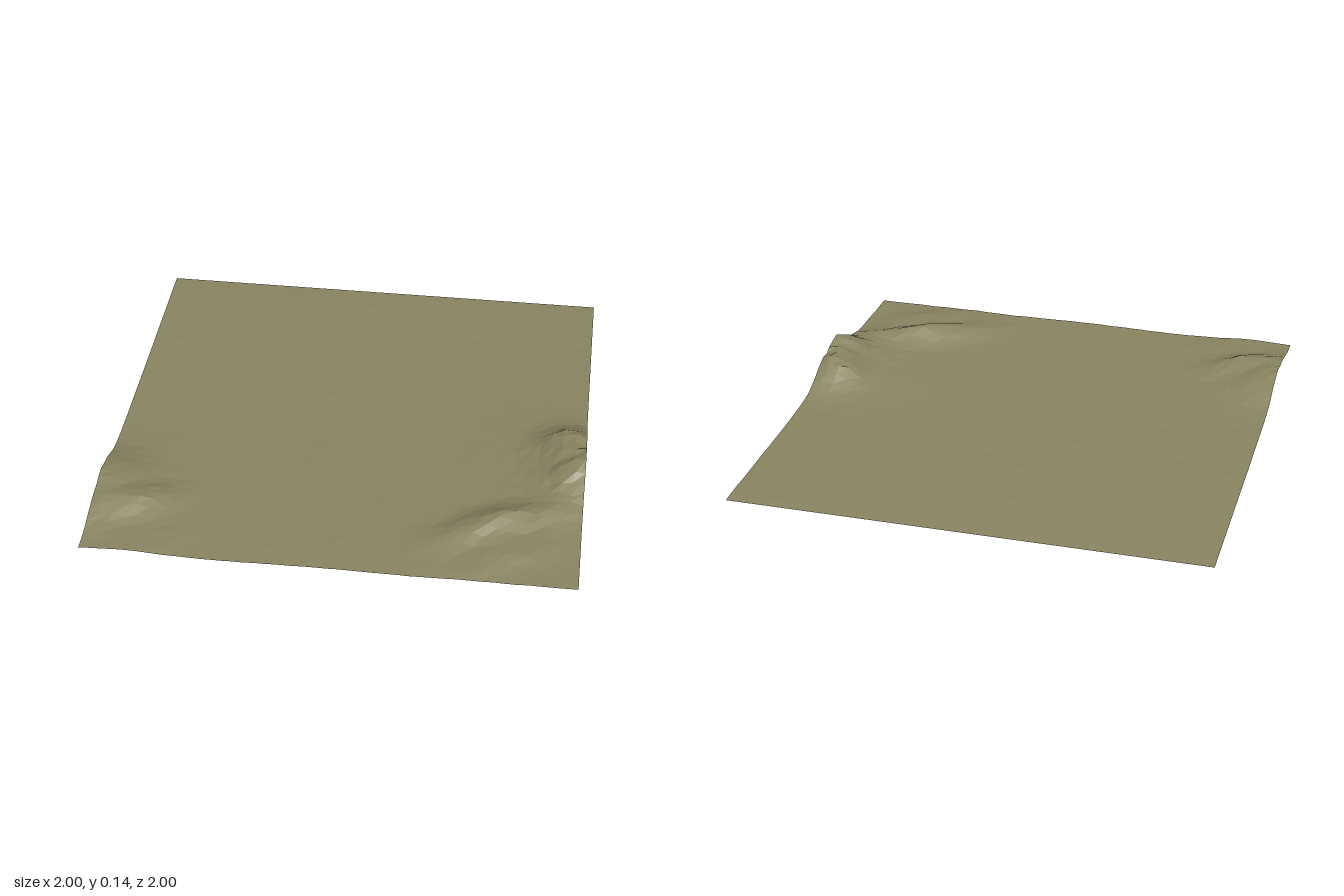
import * as THREE from 'three';

// Hills: x, z, height, half-length, half-width, ridge direction (radians, toward -z)
const HILLS = [
  [1.00, 0.33, 0.098, 0.11, 0.085, 0.5],   // main peak on the left edge
  [0.93, 0.13, 0.088, 0.09, 0.085, 0.4],   // second peak behind it
  [0.95, 0.25, 0.022, 0.28, 0.24, 0.4],    // broad skirt
  [0.64, 0.66, 0.050, 0.12, 0.06, 0.5],    // forward ridges
  [0.86, 0.58, 0.028, 0.16, 0.06, 0.5],
  [0.72, 0.84, 0.024, 0.16, 0.06, 0.5],
  [0.48, 0.78, 0.018, 0.12, 0.07, 0.5],
  [-1.00, 0.56, 0.066, 0.13, 0.11, 0.5],   // hills on the right edge
  [-0.79, 0.70, 0.042, 0.10, 0.06, 0.5],
  [-0.98, 0.76, 0.028, 0.12, 0.08, 0.5],
  [-0.75, 0.92, 0.010, 0.14, 0.07, 0.5],
];

// Repeatable value from -1 to 1 for a grid corner
function hash(i, j) {
  const s = Math.sin(i * 127.1 + j * 311.7) * 43758.5453;
  return 2 * (s - Math.floor(s)) - 1;
}

function heightAt(x, z) {
  // Nearly flat plain that lifts slightly toward the front
  let y = 0.002 + 0.013 * THREE.MathUtils.smoothstep(z, -0.4, 1);
  y += 0.003 * Math.sin(7 * x + 1.5) * THREE.MathUtils.smoothstep(z, 0, 1);
  for (const [cx, cz, h, length, width, angle] of HILLS) {
    const dx = x - cx, dz = z - cz;
    const along = dx * Math.cos(angle) - dz * Math.sin(angle);
    const across = dx * Math.sin(angle) + dz * Math.cos(angle);
    y += h * Math.exp(-0.5 * ((along / length) ** 2 + (across / width) ** 2));
  }
  return y;
}

export function createModel() {
  const group = new THREE.Group();
  group.name = 'landscape';

  const n = 42, step = 2 / n;
  const geometry = new THREE.PlaneGeometry(2, 2, n, n).rotateX(-Math.PI / 2);
  const p = geometry.attributes.position;
  for (let k = 0; k < p.count; k++) {
    const i = k % (n + 1), j = Math.floor(k / (n + 1));
    // Shift inner corners sideways for irregular facets; keep the border straight
    const x = p.getX(k) + (i > 0 && i < n ? 0.25 * step * hash(i, j) : 0);
    const z = p.getZ(k) + (j > 0 && j < n ? 0.25 * step * hash(j + 57, i) : 0);
    const y = heightAt(x, z);
    // Rougher on the hills than on the plain
    const rough = 0.0008 + 0.06 * Math.max(0, y - 0.012);
    p.setXYZ(k, x, j === 0 ? 0 : Math.max(0, y + rough * hash(i + 13, j + 29)), z);
  }
  geometry.computeVertexNormals();

  const ground = new THREE.Mesh(geometry, new THREE.MeshStandardMaterial({
    color: 0x8a8562, flatShading: true, side: THREE.DoubleSide,
  }));
  ground.name = 'terrain';
  group.add(ground);
  return group;
}
